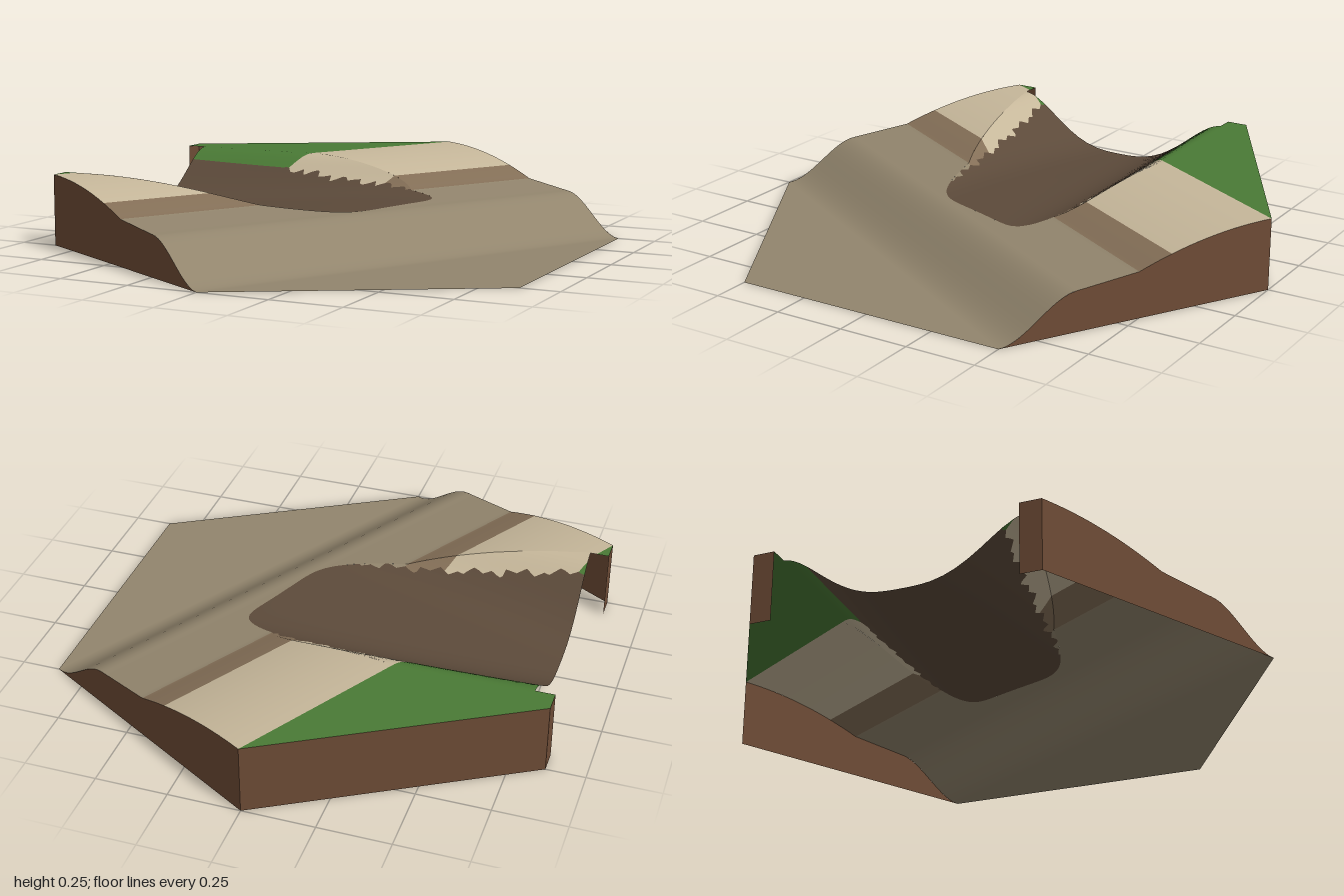
import * as THREE from 'three';

const C = Math.sqrt(3) / 2;
const NOTCH_X = -0.8, NOTCH_Z = 0.425;
const clamp01 = v => Math.min(1, Math.max(0, v));
const smooth = v => { v = clamp01(v); return v * v * (3 - 2 * v); };
const shoreDist = (x, z) => C * x + 0.5 * z;

// Land height: rounded bank, gentle shelf, then a drop to the sea floor
function coast(x, z) {
  const d = shoreDist(x, z);
  if (d < 0) return 0.25 - 0.09 * clamp01((d + 0.5) / 0.5) ** 2;
  if (d < 0.22) return 0.16 - 0.02 * d / 0.22;
  return 0.14 * (1 - smooth((d - 0.22) / 0.28));
}

// River height: U-shaped valley that grows shallower towards its mouth
function river(x, z) {
  const k = clamp01((0.27 - x) / 1.07);
  const floor = 0.145 - 0.08 * k ** 1.3;
  return floor + (0.25 - floor) * smooth((Math.abs(z) / 0.43) ** (3 - 1.5 * k));
}

// Positive inside the dark river bed; its edge is ragged along the beach
function insideBed(x, z) {
  let edge = z > 0 ? 0.345 - 0.12 * (x + 0.8) : 0.335 - 0.1 * Math.max(0, x + 0.37);
  if (shoreDist(x, z) < -0.5) edge = 0.34;
  else if (x < 0.15) {
    const u = x / 0.062 + (z > 0 ? 0.3 : 0);
    edge += 0.03 * (u - Math.floor(u) - 0.5) + 0.006 * Math.sin(x * 41);
  }
  return edge - Math.abs(z);
}

// Keep the part of a flat [x, z] polygon where f >= 0
function clip(poly, f) {
  const out = [];
  poly.forEach((a, i) => {
    const b = poly[(i + 1) % poly.length];
    const fa = f(...a), fb = f(...b);
    if (fa >= 0) out.push(a);
    if ((fa >= 0) !== (fb >= 0)) {
      const t = fa / (fa - fb);
      out.push([a[0] + (b[0] - a[0]) * t, a[1] + (b[1] - a[1]) * t]);
    }
  });
  return out;
}

// Collects polygons draped over a height function, with its smooth normals
class Sheet {
  constructor() { this.pos = []; this.nor = []; }
  add(poly, h) {
    const e = 0.004;
    for (let i = 1; i + 1 < poly.length; i++) {
      const [a, b, c] = [poly[0], poly[i], poly[i + 1]];
      const area = (b[0] - a[0]) * (c[1] - a[1]) - (b[1] - a[1]) * (c[0] - a[0]);
      if (Math.abs(area) < 1e-9) continue;
      for (const [x, z] of [a, b, c]) {
        const n = new THREE.Vector3(
          (h(x - e, z) - h(x + e, z)) / (2 * e), 1,
          (h(x, z - e) - h(x, z + e)) / (2 * e)).normalize();
        this.pos.push(x, h(x, z), z);
        this.nor.push(n.x, n.y, n.z);
      }
    }
  }
  mesh(name, color) {
    const g = new THREE.BufferGeometry();
    g.setAttribute('position', new THREE.Float32BufferAttribute(this.pos, 3));
    g.setAttribute('normal', new THREE.Float32BufferAttribute(this.nor, 3));
    return named(g, name, color);
  }
}

function named(geometry, name, color) {
  const mesh = new THREE.Mesh(geometry,
    new THREE.MeshStandardMaterial({ color, side: THREE.DoubleSide }));
  mesh.name = name;
  return mesh;
}

// Vertical wall from the ground up to the land edge, between two [x, z] points
function wall(name, a, b, n = 40) {
  const pos = [], idx = [];
  for (let i = 0; i <= n; i++) {
    const x = a[0] + (b[0] - a[0]) * i / n, z = a[1] + (b[1] - a[1]) * i / n;
    pos.push(x, 0, z, x, coast(x, z), z);
    if (i < n) { const k = 2 * i; idx.push(k, k + 2, k + 3, k, k + 3, k + 1); }
  }
  const g = new THREE.BufferGeometry();
  g.setAttribute('position', new THREE.Float32BufferAttribute(pos, 3));
  g.setIndex(idx);
  g.computeVertexNormals();
  return named(g, name, 0x6e4c36);
}

export function createModel() {
  const group = new THREE.Group();
  group.name = 'riverMouthTile';
  const bed = new Sheet();

  // Bands of ground running parallel to the shore: name, colour, range, rows
  const bands = [
    ['grass', 0x4a7a35, -1, -0.5, 25],
    ['sand', 0xc6b79a, -0.5, -0.12, 20],
    ['wetShore', 0x846f57, -0.12, 0, 6],
    ['seabed', 0x92856d, 0, 1, 50],
  ];
  const cols = 84;
  const point = (d, s) => {
    const half = Math.abs(d) < 0.5 ? C : (1 - Math.abs(d)) * 2 * C;
    const t = half * s;
    return [C * d - 0.5 * t, 0.5 * d + C * t];
  };

  for (const [name, color, d0, d1, rows] of bands) {
    const land = new Sheet();
    for (let i = 0; i < rows; i++) for (let j = 0; j < cols; j++) {
      const da = d0 + (d1 - d0) * i / rows, db = d0 + (d1 - d0) * (i + 1) / rows;
      const sa = -1 + 2 * j / cols, sb = -1 + 2 * (j + 1) / cols;
      const cell = [point(da, sa), point(da, sb), point(db, sb), point(db, sa)];
      // Leave the notch at the head of the river open
      const outer = clip(cell, x => NOTCH_X - x);
      const pieces = [
        clip(cell, x => x - NOTCH_X),
        clip(outer, (x, z) => z - NOTCH_Z),
        clip(outer, (x, z) => -z - NOTCH_Z),
      ];
      for (const p of pieces) {
        land.add(clip(p, (x, z) => river(x, z) - coast(x, z)), coast);
        const valley = clip(p, (x, z) => coast(x, z) - river(x, z));
        land.add(clip(valley, (x, z) => -insideBed(x, z)), river);
        bed.add(clip(valley, insideBed), river);
      }
    }
    group.add(land.mesh(name, color));
  }
  group.add(bed.mesh('riverBed', 0x5c4a3a));

  // Earth walls around the raised sides
  group.add(
    wall('frontWall', [-C, 0.5], [0, 1]),
    wall('backLeftWall', [C, -0.5], [0, -1]),
    wall('backRightWall', [0, -1], [-C, -0.5], 1),
    wall('rightWallBack', [-C, -0.5], [-C, -NOTCH_Z], 1),
    wall('rightWallFront', [-C, NOTCH_Z], [-C, 0.5], 1),
  );
  return group;
}
